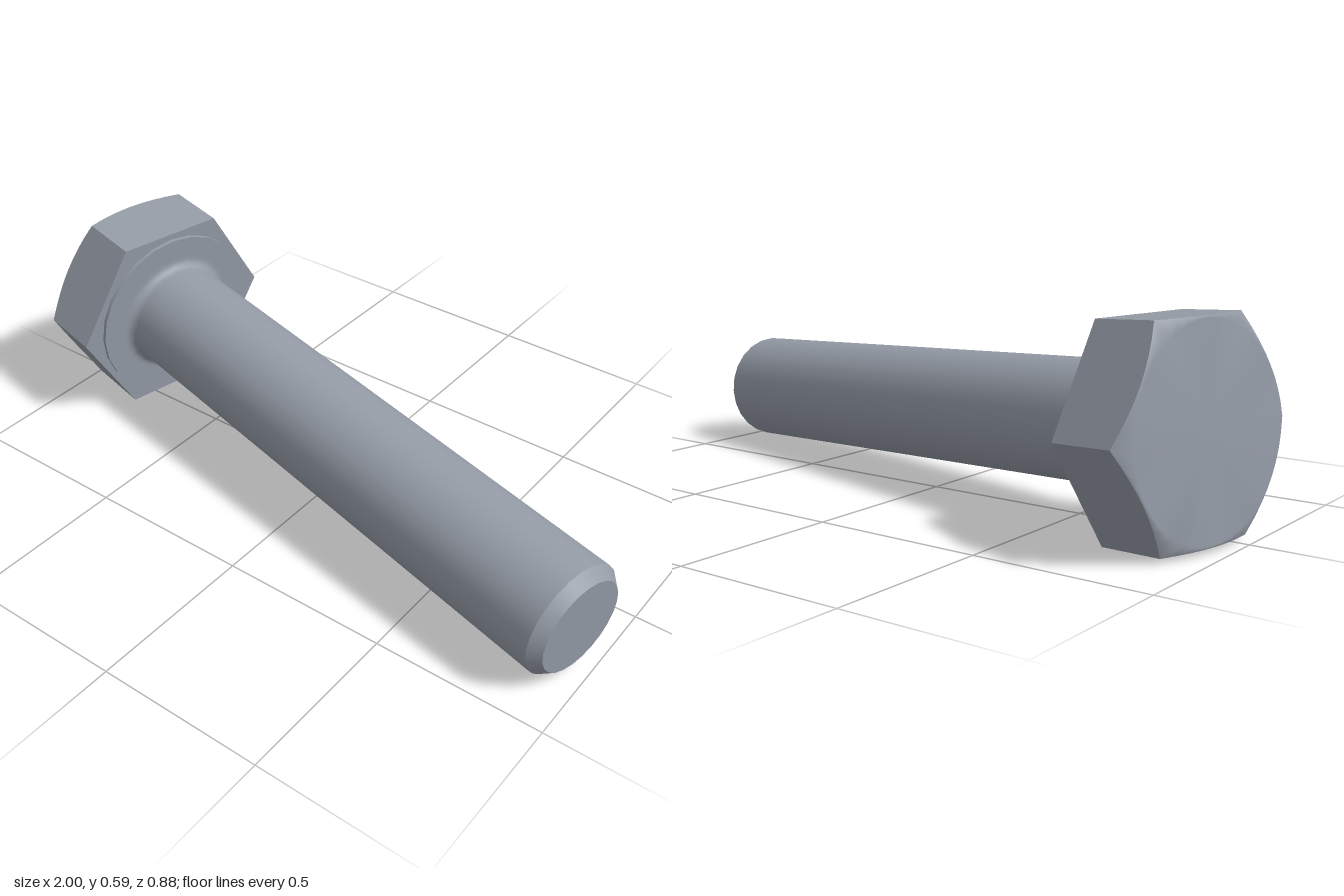
import * as THREE from 'three';

const SIDES = 24;          // roundness of the turned parts
const APOTHEM = 0.2875;    // half the width across the hex flats
const TIP = 1.741;         // distance from under the head to the end
const R = 0.168;           // shaft radius

export function createModel() {
  const steel = new THREE.MeshStandardMaterial({ color: 0x959ca7 });
  steel.name = 'steel';

  const bolt = new THREE.Group();
  bolt.name = 'bolt';

  const add = (name, geometry) => {
    const mesh = new THREE.Mesh(geometry, steel);
    mesh.name = name;
    bolt.add(mesh);
  };
  const turned = (name, points) =>
    add(name, new THREE.LatheGeometry(points.map(([r, y]) => new THREE.Vector2(r, y)), SIDES));

  // Hex head: flat sides whose back edges are cut by a 30 degree chamfer
  const steps = 48;
  const ring = [];
  for (let i = 0; i <= steps; i++) {
    const t = (i / steps) * Math.PI * 2;
    const r = APOTHEM / Math.cos((t % (Math.PI / 3)) - Math.PI / 6);
    const at = (radius, y) => [radius * Math.sin(t), y, radius * Math.cos(t)];
    ring.push({
      under: at(r, 0),
      back: at(r, -0.215 + (r - APOTHEM) * Math.tan(Math.PI / 6)),
      inner: at(0.282, -0.218),
    });
  }
  const sides = [];
  const underside = [];
  const cap = [0, -0.219, 0];
  const capIndex = [];
  for (let i = 0; i < steps; i++) {
    const a = ring[i], b = ring[i + 1];
    sides.push(...a.back, ...b.back, ...b.under, ...a.back, ...b.under, ...a.under);
    underside.push(0, 0, 0, ...a.under, ...b.under);
    cap.push(...a.inner, ...a.back);
    const i0 = 1 + i * 2, i1 = 1 + ((i + 1) % steps) * 2;
    capIndex.push(0, i1, i0, i0, i1, i1 + 1, i0, i1 + 1, i0 + 1);
  }
  const surface = (positions, index) => {
    const g = new THREE.BufferGeometry();
    g.setAttribute('position', new THREE.Float32BufferAttribute(positions, 3));
    if (index) g.setIndex(index);
    g.computeVertexNormals();
    return g;
  };
  add('headSides', surface(sides));
  add('headUnderside', surface(underside));
  add('headCap', surface(cap, capIndex));

  // Washer face under the head
  turned('washerRim', [[0.269, 0], [0.269, 0.012]]);

  // Washer face blends through a fillet into the shaft
  const fillet = 0.027;
  const profile = [[0.269, 0.012], [R + fillet + 0.01, 0.012]];
  for (let i = 0; i <= 5; i++) {
    const t = (i / 5) * Math.PI / 2;
    profile.push([R + fillet * (1 - Math.sin(t)), 0.012 + fillet * (1 - Math.cos(t))]);
  }
  profile.push([R, 0.06], [R, TIP - 0.033]);
  turned('shaft', profile);

  // Chamfered end
  turned('tipChamfer', [[R, TIP - 0.033], [0.14, TIP]]);
  turned('tipFace', [[0.14, TIP], [0, TIP]]);

  // Lay the bolt down, resting on a head flat and the tip
  const axis = new THREE.Vector3(0.9758, -0.0673, 0.2078).normalize();
  const across = new THREE.Vector3(-axis.z, 0, axis.x).normalize();
  const side = new THREE.Vector3().crossVectors(axis, across);
  bolt.quaternion.setFromRotationMatrix(new THREE.Matrix4().makeBasis(side, axis, across));
  bolt.position.set(-0.73, 0.288, -0.078);

  const model = new THREE.Group();
  model.name = 'hexBolt';
  model.add(bolt);
  return model;
}
